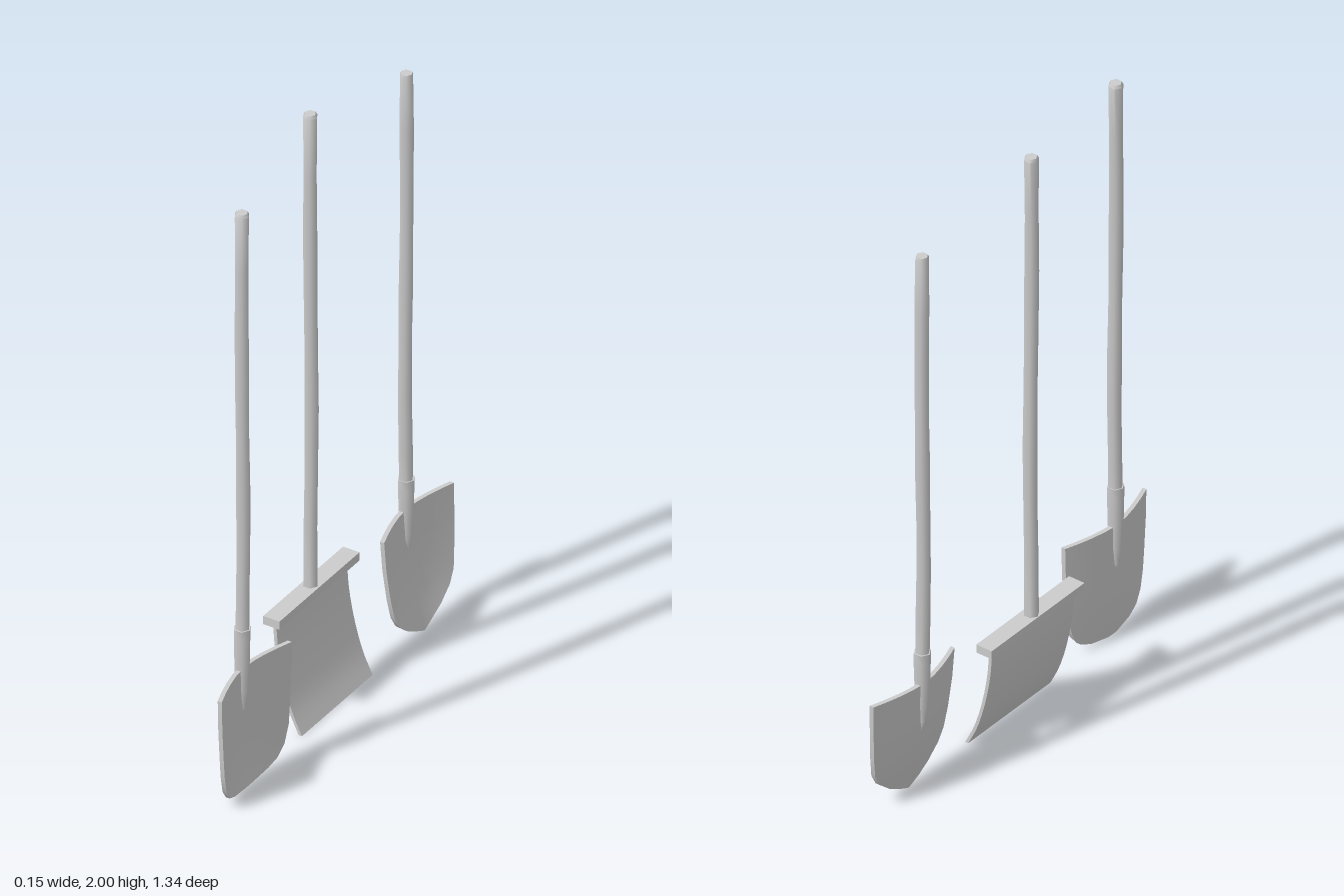
import * as THREE from 'three';
import { toCreasedNormals } from 'three/addons/utils/BufferGeometryUtils.js';

const material = new THREE.MeshStandardMaterial({ color: 0xcccccc });

function addMesh(group, name, geometry, crease) {
  const mesh = new THREE.Mesh(toCreasedNormals(geometry, crease), material);
  mesh.name = name;
  group.add(mesh);
  return mesh;
}

// Closed sheet lofted downwards through rows of [y, half width, centre x, edge depth]
function bladeGeometry(rows, z0, thickness, columns = 8) {
  const positions = [], index = [], n = columns, loop = 2 * (n + 1);
  for (const [y, half, x, depth] of rows) {
    for (let k = 0; k < loop; k++) {
      const front = k <= n;
      const u = ((front ? k : loop - 1 - k) / n) * 2 - 1;
      const side = (front ? 0.5 : -0.5) * thickness;
      positions.push(x + depth * Math.pow(Math.abs(u), 1.6) + side, y, z0 + half * u);
    }
  }
  for (let r = 0; r < rows.length - 1; r++) {
    for (let k = 0; k < loop; k++) {
      const a = r * loop + k, b = r * loop + (k + 1) % loop;
      index.push(a, b, a + loop, b, b + loop, a + loop);
    }
  }
  // top and bottom edges
  const last = (rows.length - 1) * loop;
  for (let k = 0; k < n; k++) {
    const f = k, g = k + 1, bf = loop - 1 - k, bg = loop - 2 - k;
    index.push(f, bf, g, g, bf, bg);
    index.push(last + f, last + g, last + bf, last + g, last + bg, last + bf);
  }
  const geometry = new THREE.BufferGeometry();
  geometry.setAttribute('position', new THREE.Float32BufferAttribute(positions, 3));
  geometry.setIndex(index);
  return geometry;
}

// Six-sided turned form with a corner facing +x
function hexLathe(profile) {
  return new THREE.LatheGeometry(profile.map(([r, y]) => new THREE.Vector2(r, y)), 6, Math.PI / 6);
}

// Hand-cut wooden pole, slightly crooked along its length
function addHandle(group, x, z, bottom, top, phase) {
  const profile = [[0, bottom]];
  const steps = 8;
  for (let i = 0; i <= steps; i++) {
    const y = bottom + (top - 0.01 - bottom) * i / steps;
    profile.push([0.0225 + 0.001 * Math.sin(i * 2.3 + phase), y]);
  }
  profile.push([0.018, top], [0, top]);
  const geometry = hexLathe(profile);
  const p = geometry.attributes.position;
  for (let i = 0; i < p.count; i++) {
    const y = p.getY(i);
    const bend = Math.min(1, Math.max(0, (y - bottom) * 3));
    p.setX(i, p.getX(i) + x - 0.003 * bend * Math.sin(y * 3 + phase));
    p.setZ(i, p.getZ(i) + z + 0.004 * bend * Math.sin(y * 4.5 + phase));
  }
  addMesh(group, 'handle', geometry, 1.1);
}

// Digging shovel: dished blade, tapered socket and handle
function makeShovel(name, x, z, top, socketTop, rows) {
  const group = new THREE.Group();
  group.name = name;
  addHandle(group, x, z, 0.42, top, z * 3);
  const socket = addMesh(group, 'socket', hexLathe([
    [0, 0.225], [0.013, 0.265], [0.021, 0.32], [0.025, 0.41],
    [0.027, socketTop - 0.03], [0.0265, socketTop], [0.02, socketTop]
  ]), 1.1);
  socket.position.set(x, 0, z);
  addMesh(group, 'blade', bladeGeometry(rows, z, 0.014), 0.7);
  return group;
}

// Wide scraper: curved rectangular blade under a crossbar
function makeScraper() {
  const group = new THREE.Group();
  group.name = 'scraper';
  addHandle(group, -0.051, -0.01, 0.375, 2, 1);
  const bar = addMesh(group, 'crossbar', new THREE.BoxGeometry(0.056, 0.028, 0.434), 0.7);
  bar.position.set(-0.049, 0.375, -0.012);
  const curve = new THREE.SplineCurve([
    [-0.053, 0.37], [-0.045, 0.27], [-0.025, 0.165], [0.002, 0.075], [0.035, 0.005]
  ].map(([px, py]) => new THREE.Vector2(px, py)));
  const rows = curve.getPoints(10).map((p) => [p.y, 0.192, p.x, 0]);
  addMesh(group, 'blade', bladeGeometry(rows, -0.01, 0.011, 1), 0.7);
  return group;
}

export function createModel() {
  const model = new THREE.Group();
  model.name = 'shovels';

  model.add(makeShovel('squareShovel', 0.025, 0.482, 1.955, 0.535, [
    [0.4, 0.19, 0.024, 0.044], [0.3, 0.187, 0.025, 0.043], [0.2, 0.18, 0.026, 0.042],
    [0.13, 0.174, 0.029, 0.039], [0.07, 0.157, 0.034, 0.03], [0.035, 0.13, 0.038, 0.02],
    [0.018, 0.09, 0.041, 0.01], [0.006, 0.02, 0.043, 0]
  ]));

  model.add(makeScraper());

  model.add(makeShovel('roundShovel', -0.021, -0.482, 1.895, 0.505, [
    [0.4, 0.19, -0.026, 0.042], [0.3, 0.184, -0.021, 0.041], [0.2, 0.173, -0.01, 0.037],
    [0.13, 0.16, 0.003, 0.03], [0.09, 0.137, 0.012, 0.023], [0.05, 0.09, 0.023, 0.012],
    [0.025, 0.045, 0.03, 0.004], [0.006, 0.004, 0.035, 0]
  ]));

  return model;
}
